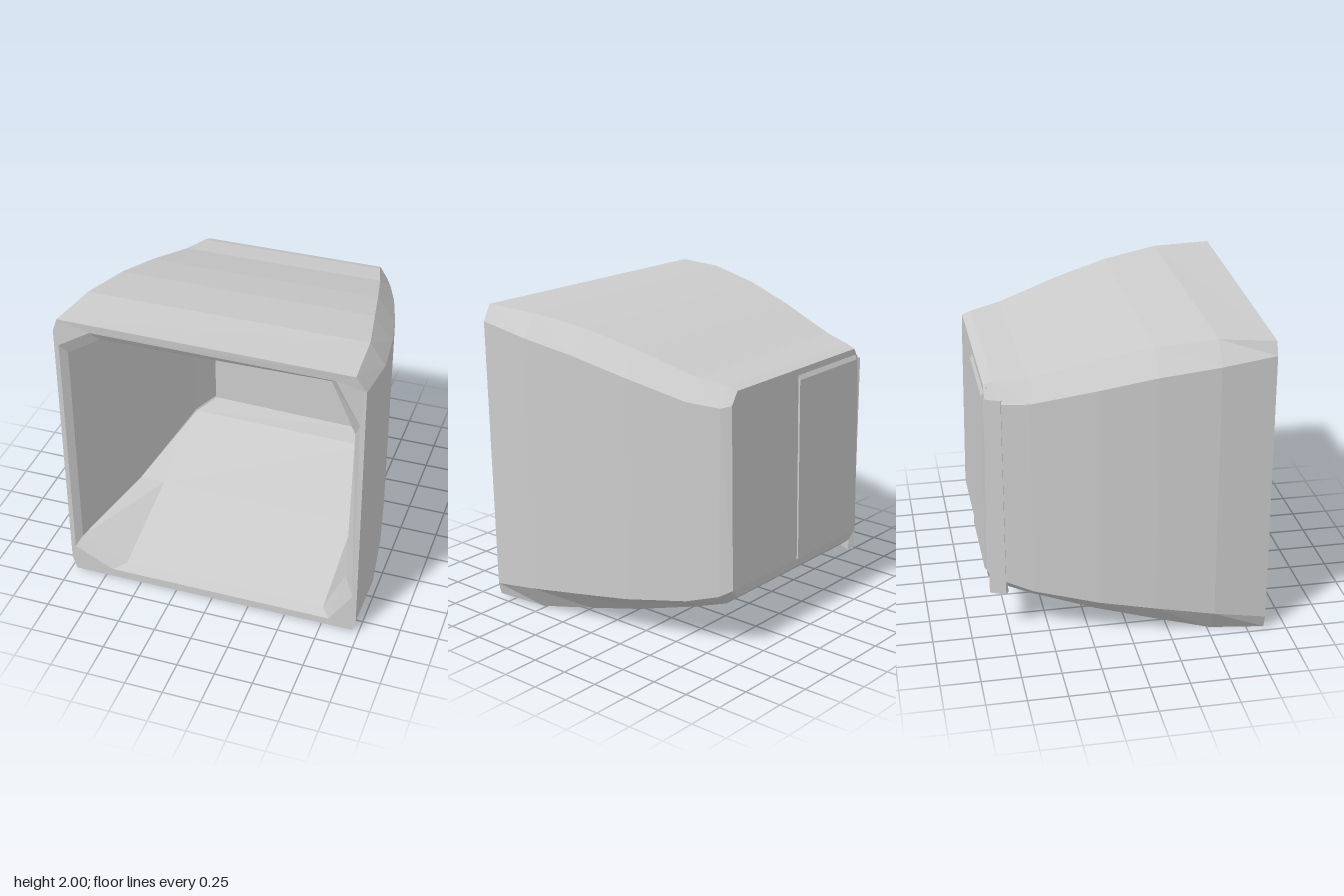
import * as THREE from 'three';

const material = new THREE.MeshStandardMaterial({ color: 0xcccccc, flatShading: true });

// Eight-sided ring: half width, bottom, top, corner cut width, lower and upper cut heights
function ring(z, w, b, t, cx, low, high) {
  return at(z, [
    [-w, b + low], [-w + cx, b], [w - cx, b], [w, b + low],
    [w, t - high], [w - cx, t], [-w + cx, t], [-w, t - high],
  ]);
}

// Place profile points at depth z, with an optional depth offset per point
const at = (z, points) => points.map(([x, y, dz = 0]) => [x, y, z + dz]);

// Skin a series of equal rings and close both ends
function skin(rings) {
  const n = rings[0].length;
  const index = [];
  for (let i = 0; i < rings.length - 1; i++) {
    for (let j = 0; j < n; j++) {
      const a = i * n + j, b = i * n + (j + 1) % n;
      index.push(a, b, b + n, a, b + n, a + n);
    }
  }
  const last = (rings.length - 1) * n;
  for (let j = 1; j < n - 1; j++) {
    index.push(0, j + 1, j);
    index.push(last, last + j, last + j + 1);
  }
  const g = new THREE.BufferGeometry();
  g.setAttribute('position', new THREE.Float32BufferAttribute(rings.flat(2), 3));
  g.setIndex(index);
  const flat = g.toNonIndexed();
  flat.computeVertexNormals();
  return flat;
}

export function createModel() {
  const model = new THREE.Group();
  const add = (name, geometry) => {
    const mesh = new THREE.Mesh(geometry, material);
    mesh.name = name;
    model.add(mesh);
    return mesh;
  };

  // Leaning back wall
  const backWall = [
    [-0.66, 0.43, -0.02], [-0.61, 0.37, -0.01], [0.61, 0.37, -0.01], [0.66, 0.43, -0.02],
    [0.66, 1.61], [0.61, 1.69], [-0.61, 1.69], [-0.66, 1.61],
  ];
  // Front rim, with the upper corner on one side pulled forward
  const rim = [
    [-0.99, 0.1], [-0.96, 0.01], [0.96, 0.02], [0.98, 0.1],
    [0.985, 1.9, 0.03], [0.92, 2.0, 0.04], [-0.96, 1.985], [-0.99, 1.9],
  ];
  // Outer part of the rim face, before it dips inward
  const lip = [
    [-0.96, 0.2], [-0.7, 0.07], [0.8, 0.07], [0.95, 0.3],
    [0.95, 1.65, 0.02], [0.8, 1.94, 0.03], [-0.75, 1.93], [-0.96, 1.8],
  ];
  const mouth = [
    [-0.92, 0.27], [-0.61, 0.12], [0.75, 0.12], [0.89, 0.43],
    [0.91, 1.54], [0.76, 1.9, 0.02], [-0.7, 1.87], [-0.92, 1.73],
  ];
  // Inside profiles: the corner cuts run straight back and fade out
  const middle = [
    [-0.78, 0.29], [-0.61, 0.285], [0.75, 0.28], [0.82, 0.43],
    [0.82, 1.54], [0.76, 1.74], [-0.68, 1.73], [-0.78, 1.7],
  ];
  const nearBack = [
    [-0.615, 0.46], [-0.61, 0.45], [0.65, 0.43], [0.66, 0.44],
    [0.66, 1.54], [0.64, 1.57], [-0.605, 1.59], [-0.615, 1.58],
  ];
  const back = [
    [-0.53, 0.47], [-0.52, 0.46], [0.58, 0.43], [0.59, 0.44],
    [0.59, 1.53], [0.58, 1.54], [-0.52, 1.58], [-0.53, 1.57],
  ];

  // Tapered housing: outside from back to front, then inside from front to back
  add('housing', skin([
    at(-0.86, backWall),
    ring(-0.8, 0.7, 0.31, 1.71, 0.08, 0.07, 0.12),
    ring(-0.6, 0.775, 0.25, 1.74, 0.1, 0.07, 0.13),
    ring(-0.2, 0.88, 0.145, 1.86, 0.12, 0.11, 0.15),
    ring(0.15, 0.95, 0.075, 1.945, 0.12, 0.14, 0.15),
    ring(0.52, 1.0, 0.005, 1.995, 0.1, 0.16, 0.14),
    at(0.86, rim),
    at(0.86, lip),
    at(0.82, mouth),
    at(0.13, middle),
    at(-0.53, nearBack),
    at(-0.72, back),
  ]));

  // Slightly raised half of the back wall, with a bevelled upper edge
  add('backPanel', skin([
    at(-0.875, [[-0.62, 0.43, -0.015], [0, 0.43, -0.015], [0, 1.62], [-0.62, 1.62]]),
    at(-0.84, [[-0.63, 0.4], [0, 0.4], [0, 1.69], [-0.63, 1.69]]),
  ]));

  // Upright strip covering a rear corner, reaching below the floor
  const strip = add('rearCornerStrip', new THREE.BoxGeometry(0.04, 1.34, 0.11));
  strip.position.set(-0.675, 0.95, -0.81);
  strip.rotation.y = -0.45;

  return model;
}
